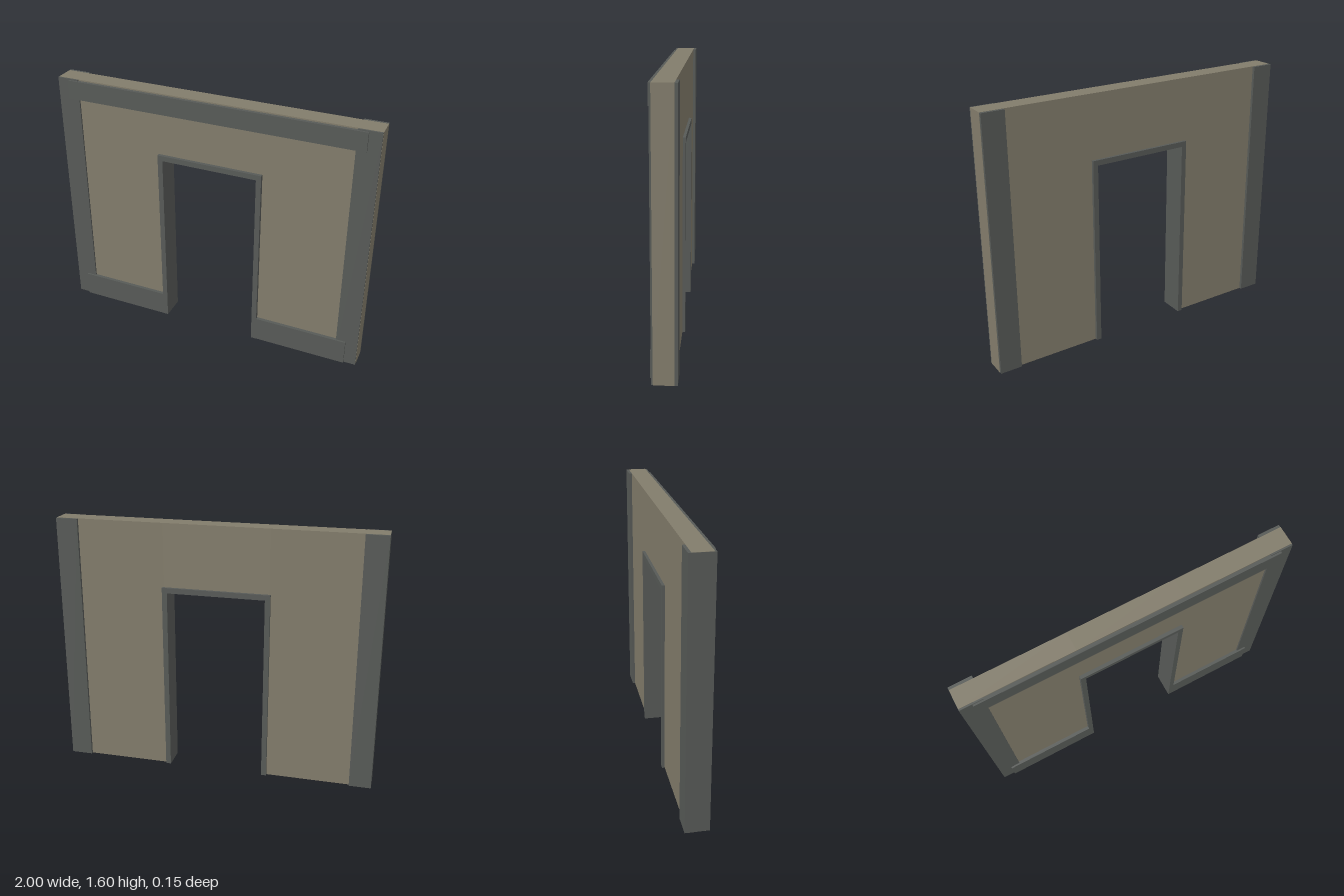
import * as THREE from 'three';

export function createModel() {
  const model = new THREE.Group();
  model.name = 'doorwayWall';

  const plaster = new THREE.MeshStandardMaterial({ color: 0x827c6b });
  plaster.name = 'warm grey plaster';
  const trim = new THREE.MeshStandardMaterial({ color: 0x575a57 });
  trim.name = 'dark grey trim';

  // Box given by its lower and upper limits on each axis
  function box(name, material, [x0, x1], [y0, y1], [z0, z1]) {
    const mesh = new THREE.Mesh(new THREE.BoxGeometry(x1 - x0, y1 - y0, z1 - z0), material);
    mesh.position.set((x0 + x1) / 2, (y0 + y1) / 2, (z0 + z1) / 2);
    mesh.name = name;
    model.add(mesh);
  }

  const wallZ = [-0.06, 0.056];
  const depth = 0.077;

  // Wall panels beside and above the opening
  box('rightWallPanel', plaster, [-0.999, -0.325], [0, 1.6], wallZ);
  box('leftWallPanel', plaster, [0.325, 1], [0, 1.6], wallZ);
  box('lintelPanel', plaster, [-0.325, 0.325], [1.19, 1.6], wallZ);

  // Right corner post wraps the wall end
  box('rightCornerPost', trim, [-1, -0.863], [0.001, 1.599], [-depth, 0.066]);
  // Left corner post leaves the wall end bare
  box('leftCornerPost', trim, [0.863, 0.999], [0.001, 1.599], [-depth, 0.066]);

  // Top rail and baseboards on the front
  box('topRail', trim, [-0.925, 0.925], [1.475, 1.592], [0.05, depth]);
  box('rightBaseboard', trim, [-0.925, -0.335], [0.001, 0.162], [0.05, depth]);
  box('leftBaseboard', trim, [0.335, 0.925], [0.001, 0.162], [0.05, depth]);

  // Door frame, extruded through the wall
  const outline = (w, h) => [[-w, 0], [-w, h], [w, h], [w, 0]].map(([x, y]) => new THREE.Vector2(x, y));
  const shape = new THREE.Shape([...outline(0.335, 1.205), ...outline(0.303, 1.172).reverse()]);
  const frame = new THREE.Mesh(
    new THREE.ExtrudeGeometry(shape, { depth: 2 * depth, bevelEnabled: false }), trim);
  frame.position.z = -depth;
  frame.name = 'doorFrame';
  model.add(frame);

  return model;
}
